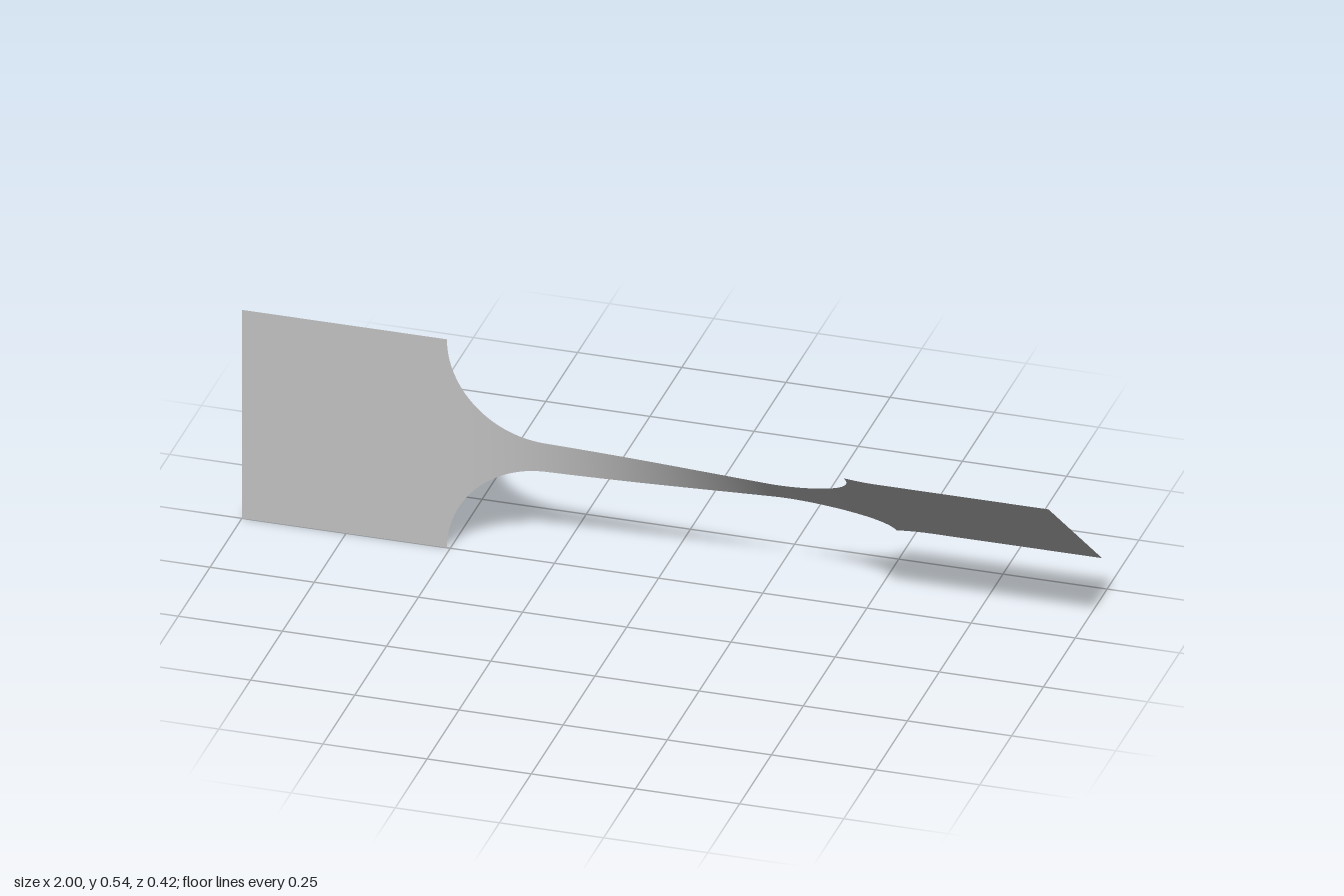
import * as THREE from 'three';

const HALF = 0.271;      // half width of the grips, also the centre height
const NECK = 0.039;      // half width of the narrow neck
const NECK_END = 0.27;   // where the fillets begin
const GRIP = 0.508;      // where the fillets meet the grips
const TWIST = THREE.MathUtils.degToRad(51);

// The twist eases in from the flat grip to the turned one
const twistAt = (x) => TWIST * THREE.MathUtils.smoothstep(x, -0.5, 0.59);

// Stations [x, half width] along a straight stretch
function straight(x0, x1, width, n) {
  return Array.from({ length: n + 1 }, (_, i) => [x0 + (x1 - x0) * i / n, width]);
}

// Stations along the quarter-round fillet, from neck to grip
function fillet(n) {
  return Array.from({ length: n + 1 }, (_, i) => {
    const a = Math.PI / 2 * i / n;
    return [NECK_END + (GRIP - NECK_END) * Math.sin(a), HALF - (HALF - NECK) * Math.cos(a)];
  });
}

const mirrored = (stations) => stations.map(([x, w]) => [-x, w]).reverse();

// Bends a plane into a twisted strip that follows the stations
function strip(name, stations, material) {
  const columns = stations.length;
  const rows = 12;
  const geometry = new THREE.PlaneGeometry(2, 2, columns - 1, rows);
  const pos = geometry.attributes.position;
  for (let i = 0; i < pos.count; i++) {
    const [x, w] = stations[i % columns];
    const offset = w * (1 - 2 * Math.floor(i / columns) / rows);
    const angle = twistAt(x);
    pos.setXYZ(i, x, HALF + offset * Math.cos(angle), offset * Math.sin(angle));
  }
  geometry.computeVertexNormals();
  const mesh = new THREE.Mesh(geometry, material);
  mesh.name = name;
  return mesh;
}

export function createModel() {
  const model = new THREE.Group();
  model.name = 'twistedTestStrip';
  const metal = new THREE.MeshStandardMaterial({ color: 0xc0c0c0, side: THREE.DoubleSide });
  metal.name = 'grey metal';

  // Neck with a fillet at each end
  const neck = straight(-NECK_END, NECK_END, NECK, 40).slice(1, -1);
  model.add(strip('neck', [...mirrored(fillet(28)), ...neck, ...fillet(28)], metal));

  // Flat grip on the right, turned grip on the left
  model.add(strip('rightGrip', straight(-1, -GRIP, HALF, 16), metal));
  model.add(strip('leftGrip', straight(GRIP, 1, HALF, 30), metal));
  return model;
}
